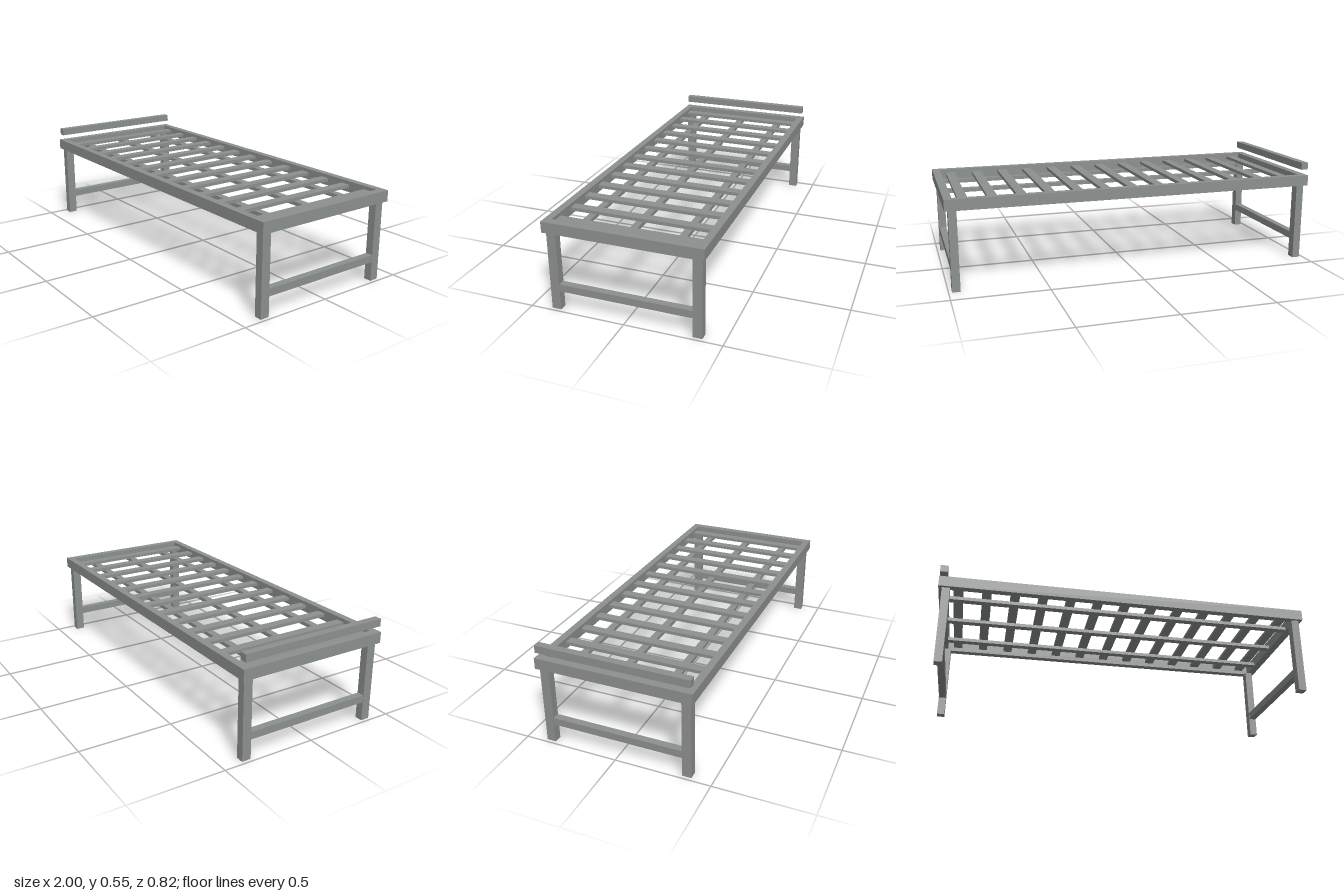
import * as THREE from 'three';

export function createModel() {
  const group = new THREE.Group();
  const steel = new THREE.MeshStandardMaterial({ color: 0x8c908f });
  steel.name = 'steel grey';

  // Box given by its extents on each axis
  const bar = (name, [x0, x1], [y0, y1], [z0, z1]) => {
    const mesh = new THREE.Mesh(new THREE.BoxGeometry(x1 - x0, y1 - y0, z1 - z0), steel);
    mesh.position.set((x0 + x1) / 2, (y0 + y1) / 2, (z0 + z1) / 2);
    mesh.name = name;
    group.add(mesh);
  };
  const around = (c, width) => [c - width / 2, c + width / 2];

  // Outer frame
  const frameY = [0.422, 0.48];
  for (const s of [-1, 1]) {
    bar('sideRail', [-1, 1], frameY, around(s * 0.39, 0.038));
    bar('endRail', around(s * 0.979, 0.042), frameY, [-0.371, 0.371]);
  }

  // Legs and the rung joining each pair
  for (const sx of [-1, 1]) {
    for (const sz of [-1, 1]) {
      bar('leg', around(sx * 0.961, 0.042), [0, 0.422], around(sz * 0.37, 0.048));
    }
    bar('legRung', around(sx * 0.961, 0.038), [0.102, 0.141], [-0.346, 0.346]);
  }

  // Lengthwise supports under the cross slats
  for (const z of [-0.25, 0, 0.25]) {
    bar('lengthSupport', [-0.958, 0.958], [0.426, 0.445], around(z, 0.037));
  }
  for (let i = -6; i <= 6; i++) {
    bar('crossSlat', around(i * 0.15, 0.05), [0.445, 0.462], [-0.371, 0.371]);
  }

  // Raised bar at the head end
  bar('headBar', [-1, -0.961], [0.512, 0.551], [-0.4, 0.4]);

  return group;
}
